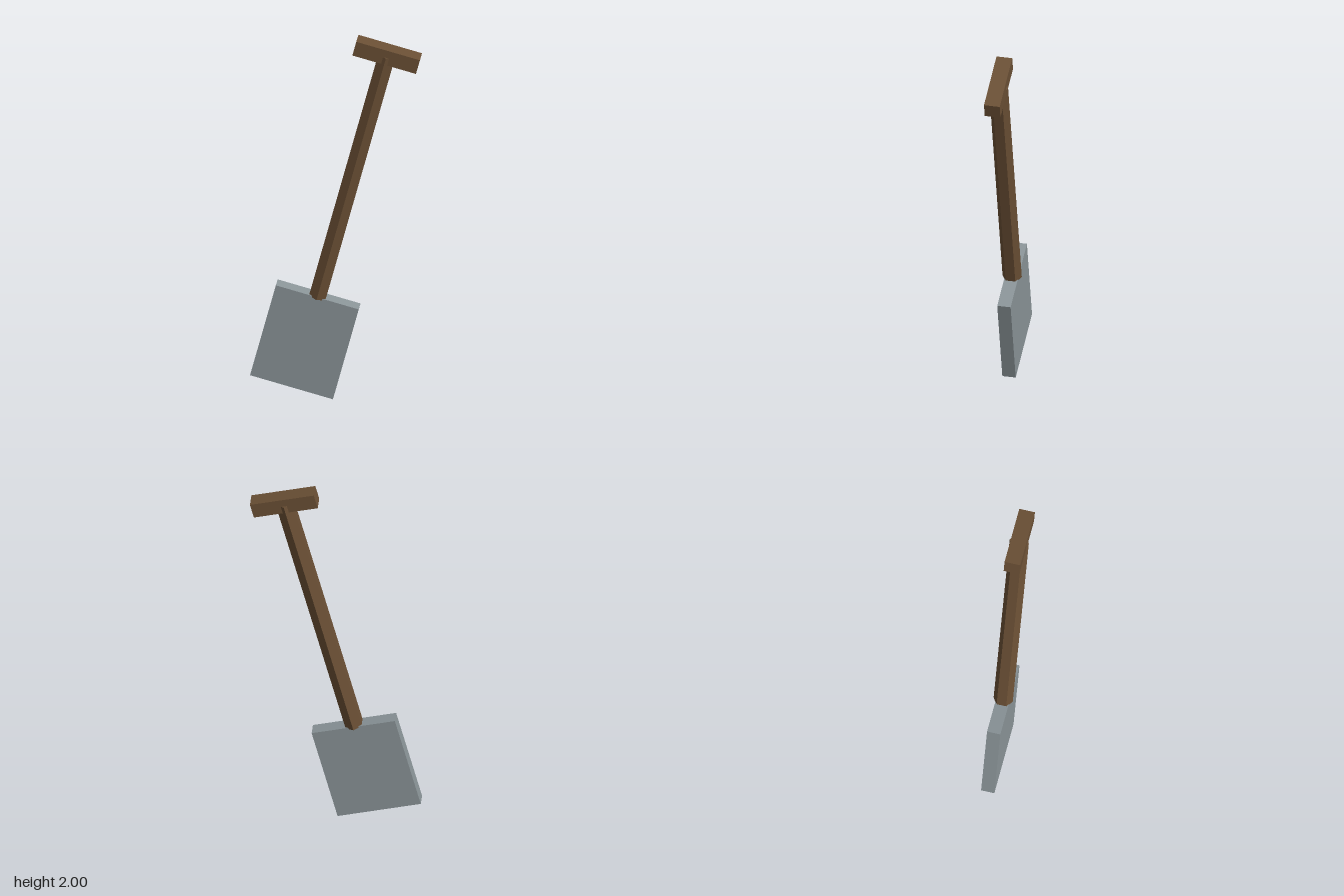
import * as THREE from 'three';

export function createModel() {
  const wood = new THREE.MeshStandardMaterial({ color: 0x6b5035 });
  wood.name = 'brown wood';
  const steel = new THREE.MeshStandardMaterial({ color: 0x8b9599 });
  steel.name = 'grey steel';

  // The whole spade leans to its left; the origin is the centre of the grip
  const spade = new THREE.Group();
  spade.name = 'spade';
  spade.position.set(0.255, 1.92, 0);
  spade.rotation.z = -0.25;

  const addPart = (name, geometry, material, y) => {
    const mesh = new THREE.Mesh(geometry, material);
    mesh.name = name;
    mesh.position.y = y;
    spade.add(mesh);
  };

  // Crossbar grip
  addPart('grip', new THREE.BoxGeometry(0.33, 0.08, 0.08), wood, 0);

  // Six-sided shaft with flat facets, from the grip into the top of the blade
  const shaftLength = 1.411;
  const shaft = new THREE.CylinderGeometry(0.049, 0.049, shaftLength, 6).toNonIndexed();
  shaft.computeVertexNormals();
  addPart('shaft', shaft, wood, -shaftLength / 2);

  // Flat square-cornered blade
  addPart('blade', new THREE.BoxGeometry(0.43, 0.525, 0.068), steel, -1.665);

  const model = new THREE.Group();
  model.name = 'model';
  model.add(spade);
  return model;
}
